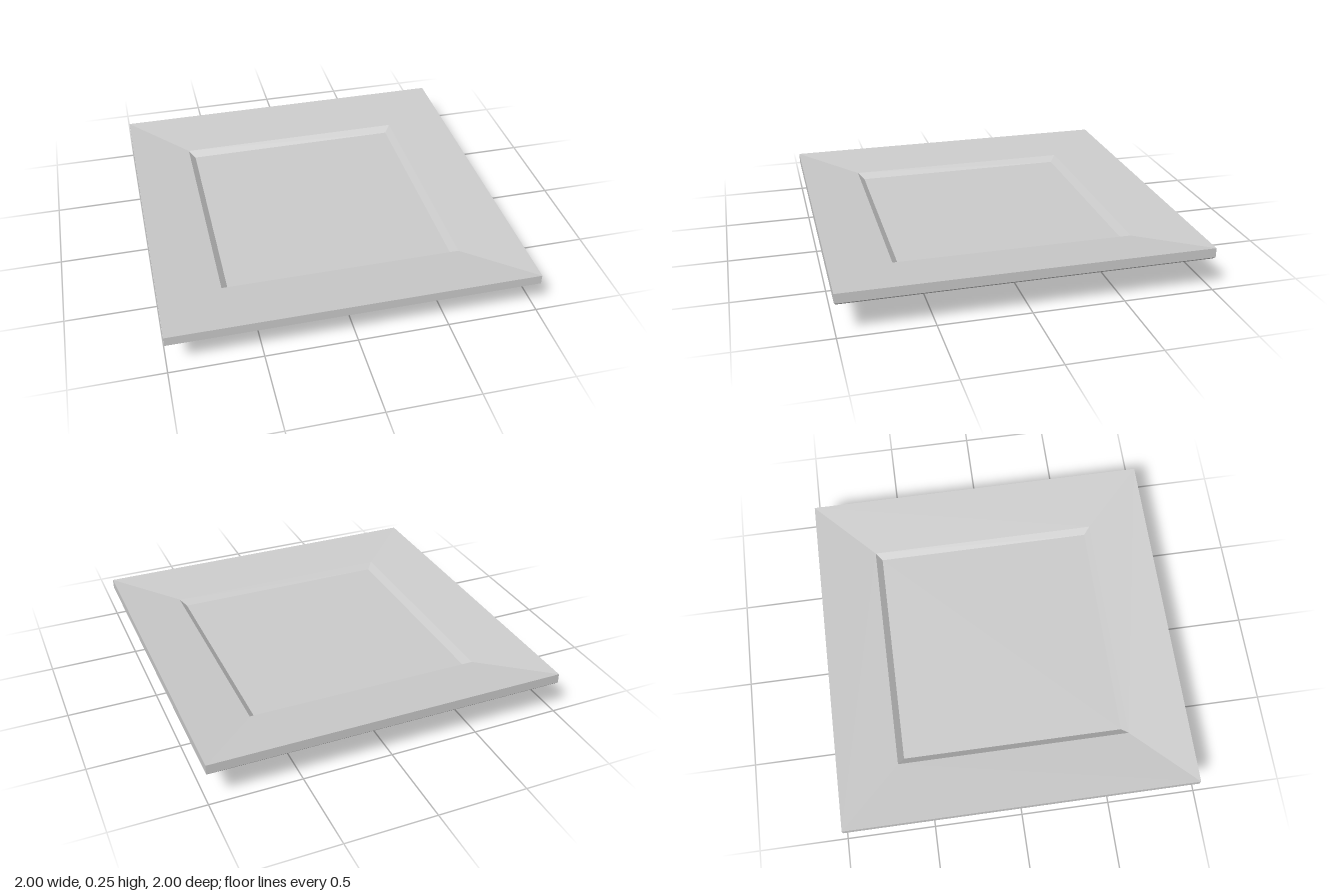
import * as THREE from 'three';

const material = new THREE.MeshStandardMaterial({ color: 0xcccccc, flatShading: true });

// Square ring surface: a four-sided lathe whose profile gives [half width, height]
function squareLathe(name, profile) {
  const points = profile.map(([half, y]) => new THREE.Vector2(half * Math.SQRT2, y));
  const geometry = new THREE.LatheGeometry(points, 4, Math.PI / 4).toNonIndexed();
  geometry.computeVertexNormals();
  const mesh = new THREE.Mesh(geometry, material);
  mesh.name = name;
  return mesh;
}

export function createModel() {
  const plate = new THREE.Group();
  plate.name = 'squarePlate';

  // Stepped foot and underside, from the base centre outwards
  plate.add(squareLathe('underside', [
    [0, 0], [0.54, 0], [0.6, 0.06], [0.69, 0.095], [0.745, 0.147], [0.99, 0.182],
  ]));

  // Thin outer edge with a small lower bevel
  plate.add(squareLathe('outerEdge', [[0.99, 0.182], [1, 0.192], [1, 0.245]]));

  // Broad rim sloping gently inwards
  plate.add(squareLathe('rim', [[1, 0.245], [0.66, 0.205]]));

  // Short step down to the flat serving surface
  plate.add(squareLathe('well', [[0.66, 0.205], [0.625, 0.172], [0, 0.172]]));

  return plate;
}
